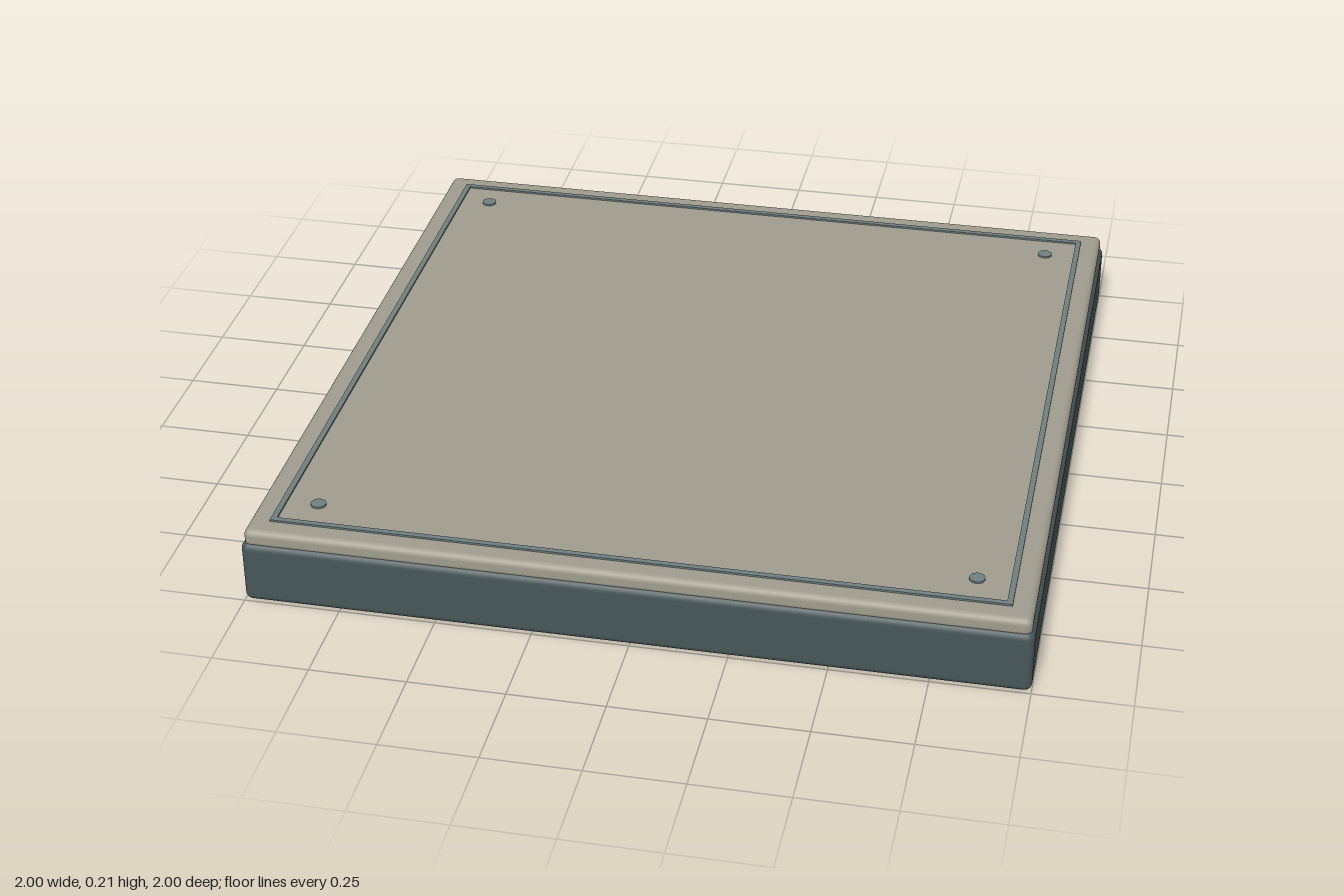
import * as THREE from 'three';
import { RoundedBoxGeometry } from 'three/addons/geometries/RoundedBoxGeometry.js';

const material = (color) => new THREE.MeshStandardMaterial({ color });

export function createModel() {
  const model = new THREE.Group();
  model.name = 'floorTile';
  const baseMat = material(0x485759);
  const slabMat = material(0xa09c8e);
  const trimMat = material(0x6f7f80);

  function add(parent, name, geometry, mat, x, y, z) {
    const mesh = new THREE.Mesh(geometry, mat);
    mesh.name = name;
    mesh.position.set(x, y, z);
    parent.add(mesh);
    return mesh;
  }

  // Dark base block, standing on the ground
  add(model, 'base', new RoundedBoxGeometry(2, 0.172, 2, 4, 0.02), baseMat, 0, 0.086, 0);

  // Pale slab, slightly inset, sunk a little into the base
  add(model, 'topSlab', new RoundedBoxGeometry(1.984, 0.05, 1.984, 4, 0.018), slabMat, 0, 0.183, 0);

  // Thin raised trim around the edge
  const trim = new THREE.Group();
  trim.name = 'trim';
  model.add(trim);
  const inset = 0.93, width = 0.015, height = 0.012, trimY = 0.207;
  for (const s of [-1, 1]) {
    add(trim, s > 0 ? 'frontTrim' : 'backTrim',
      new THREE.BoxGeometry(2 * inset + width, height, width), trimMat, 0, trimY, s * inset);
    add(trim, s > 0 ? 'leftTrim' : 'rightTrim',
      new THREE.BoxGeometry(width, height, 2 * inset - width), trimMat, s * inset, trimY, 0);
  }

  // Round studs in the corners
  const studGeometry = new THREE.CylinderGeometry(0.02, 0.02, 0.012, 24);
  for (const x of [-0.84, 0.84]) {
    for (const z of [-0.84, 0.84]) add(model, 'cornerStud', studGeometry, trimMat, x, 0.207, z);
  }

  return model;
}
